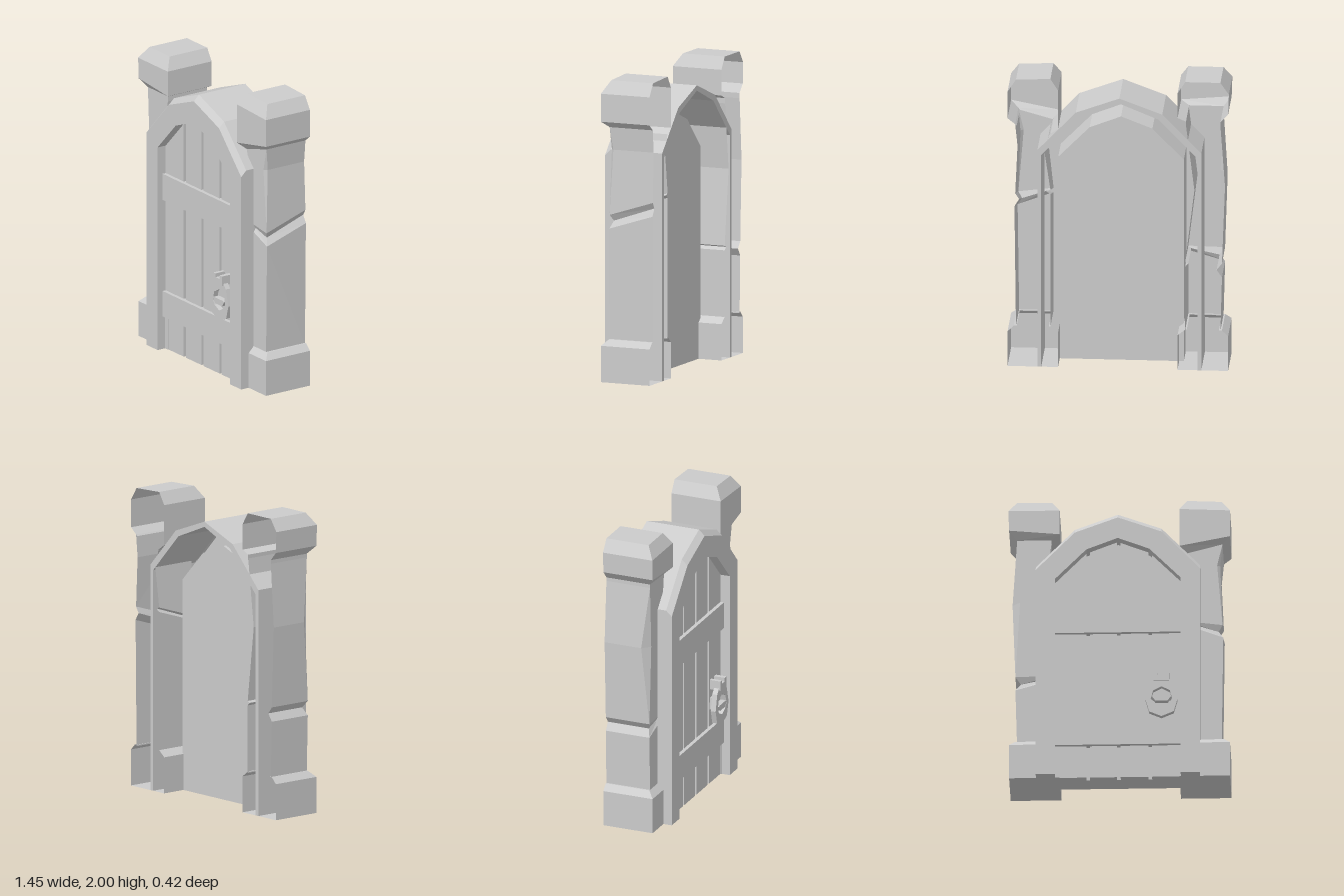
import * as THREE from 'three';

const mat = new THREE.MeshStandardMaterial({ color: 0xcccccc, flatShading: true, side: THREE.DoubleSide });
const BACK = -0.21;

function add(parent, name, geometry) {
  const mesh = new THREE.Mesh(geometry, mat);
  mesh.name = name;
  parent.add(mesh);
  return mesh;
}

// Joins rows of equally many points into a faceted open surface
function loft(rows, flip = false) {
  const pos = [];
  for (let r = 0; r < rows.length - 1; r++) {
    for (let i = 0; i < rows[r].length - 1; i++) {
      const a = rows[r][i], b = rows[r][i + 1], c = rows[r + 1][i + 1], d = rows[r + 1][i];
      pos.push(...(flip ? [a, c, b, a, d, c] : [a, b, c, a, c, d]).flat());
    }
  }
  const g = new THREE.BufferGeometry();
  g.setAttribute('position', new THREE.Float32BufferAttribute(pos, 3));
  g.computeVertexNormals();
  return g;
}

// Flat outline given thickness between z0 and z1
function slab(points, z0, z1, hole) {
  const shape = new THREE.Shape(points.map(p => new THREE.Vector2(...p)));
  if (hole) shape.holes.push(new THREE.Path(hole.map(p => new THREE.Vector2(...p))));
  return new THREE.ExtrudeGeometry(shape, { depth: z1 - z0, bevelEnabled: false }).translate(0, 0, z0);
}

// Pillar section, open at the back: outer x, inner x, front z, outer y, inner y, rise to the back, corner chamfer
const section = side => ([xo, xi, zf, yo, yi = yo, rise = 0, ch = 0]) => [
  [side * xo, yo + rise, BACK],
  [side * xo, yo, zf - ch],
  [side * (xo - ch), yo, zf],
  [side * xi, yi, zf],
  [side * xi, yi + rise, BACK],
];

function pillar(name, side, bodyRows, capRows) {
  const group = new THREE.Group();
  group.name = name;
  const part = (partName, rows) => add(group, partName, loft(rows.map(section(side)), side < 0));
  part('pillarBase', [
    [0.72, 0.39, BACK, 0], [0.72, 0.39, 0.14, 0], [0.72, 0.39, 0.14, 0.24],
    [0.68, 0.44, 0.10, 0.28], [0.66, 0.45, 0.09, 0.28],
  ]);
  part('pillarBody', bodyRows);
  part('pillarCap', capRows);
  return group;
}

// Arch outlines, from the foot of one jamb over the top to the other
const outer = [[-0.545, 0], [-0.545, 1.505], [-0.29, 1.77], [-0.01, 1.875], [0.275, 1.77], [0.525, 1.505], [0.525, 0]];
const bevel = outer.map(([x, y]) => [x, y ? y - 0.038 : 0]);
const rim = outer.map(([x, y]) => [x + (x < -0.1 ? 0.025 : x > 0 ? -0.025 : 0), y ? y - 0.035 : 0]);
const inner = [[-0.42, 0], [-0.42, 1.40], [-0.215, 1.61], [-0.01, 1.69], [0.195, 1.61], [0.40, 1.40], [0.40, 0]];

// Height of the door opening at x
function topAt(x) {
  for (let i = 1; i < 5; i++) {
    const [x0, y0] = inner[i], [x1, y1] = inner[i + 1];
    if (x <= x1) return y0 + (y1 - y0) * (x - x0) / (x1 - x0);
  }
  return inner[5][1];
}

export function createModel() {
  const model = new THREE.Group();
  model.name = 'archedDoor';

  // Arched frame, hollow behind
  const at = (pts, z) => pts.map(([x, y]) => [x, y, z]);
  add(model, 'archFrame', loft([
    at(rim, 0.15), at(rim, BACK), at(outer, BACK), at(outer, 0.16),
    at(bevel, 0.2), at(inner, 0.2), at(inner, -0.045),
  ], true));
  for (const [x0, x1] of [[-0.545, -0.42], [0.40, 0.525]]) {
    const foot = new THREE.PlaneGeometry(x1 - x0, 0.06).rotateX(Math.PI / 2);
    add(model, 'jambFoot', foot.translate((x0 + x1) / 2, 0, 0.17));
  }

  // Door leaf: backing panel, four planks and two cross bands
  add(model, 'doorPanel', slab(inner, -0.045, 0.09));
  const joints = [-0.42, -0.205, -0.005, 0.2, 0.40];
  for (let i = 0; i < 4; i++) {
    const a = joints[i] + (i > 0 ? 0.012 : 0);
    const b = joints[i + 1] - (i < 3 ? 0.012 : 0);
    add(model, 'plank', slab([[a, 0], [b, 0], [b, topAt(b)], [a, topAt(a)]], 0.05, 0.135));
  }
  for (const [y0, y1] of [[0.225, 0.40], [1.03, 1.21]]) {
    const band = add(model, 'crossBand', new THREE.BoxGeometry(0.82, y1 - y0, 0.05));
    band.position.set(-0.01, (y0 + y1) / 2, 0.135);
  }

  // Knocker: mounting tab, faceted ring and small grip
  const knocker = new THREE.Group();
  knocker.name = 'knocker';
  model.add(knocker);
  add(knocker, 'knockerRing', slab(
    [[0.17, 0.53], [0.195, 0.44], [0.275, 0.405], [0.355, 0.44], [0.38, 0.53], [0.35, 0.64], [0.315, 0.685], [0.235, 0.685], [0.195, 0.64]],
    0.165, 0.2,
    [[0.205, 0.53], [0.225, 0.50], [0.275, 0.475], [0.325, 0.50], [0.345, 0.53], [0.33, 0.59], [0.275, 0.62], [0.22, 0.59]]));
  add(knocker, 'knockerTab', slab(
    [[0.225, 0.66], [0.325, 0.66], [0.325, 0.725], [0.295, 0.725], [0.295, 0.70], [0.25, 0.70], [0.25, 0.725], [0.225, 0.725]],
    0.13, 0.21));
  add(knocker, 'knockerPlate', slab(
    [[0.22, 0.52], [0.275, 0.48], [0.33, 0.52], [0.325, 0.60], [0.225, 0.60]], 0.12, 0.165));
  add(knocker, 'knockerGrip', slab(
    [[0.21, 0.55], [0.235, 0.515], [0.315, 0.515], [0.34, 0.55], [0.32, 0.555], [0.225, 0.555]], 0.15, 0.205));

  // Pillars, each with its own wear and notch
  model.add(pillar('rightPillar', -1, [
    [0.67, 0.44, 0.10, 0.27], [0.68, 0.44, 0.10, 0.65, 0.72],
    [0.645, 0.46, 0.08, 0.70, 0.74], [0.68, 0.44, 0.10, 0.745, 0.75],
    [0.70, 0.50, 0.10, 1.28, 1.25, 0, 0.05], [0.67, 0.445, 0.10, 1.70],
  ], [
    [0.67, 0.445, 0.10, 1.69], [0.67, 0.445, 0.10, 1.725], [0.72, 0.39, 0.14, 1.78, 1.75],
    [0.725, 0.39, 0.14, 1.92], [0.67, 0.44, 0.09, 2], [0.67, 0.44, BACK, 2],
  ]));
  model.add(pillar('leftPillar', 1, [
    [0.665, 0.44, 0.10, 0.27], [0.675, 0.44, 0.10, 1.01, 1.10, 0.10],
    [0.645, 0.47, 0.08, 1.06, 1.12, 0.10], [0.67, 0.44, 0.10, 1.10, 1.13, 0.10],
    [0.655, 0.48, 0.10, 1.53, 1.50, 0, 0.02], [0.67, 0.445, 0.10, 1.68, 1.62],
  ], [
    [0.66, 0.445, 0.09, 1.67, 1.61], [0.67, 0.44, 0.10, 1.68, 1.62], [0.72, 0.39, 0.14, 1.72, 1.655],
    [0.72, 0.39, 0.14, 1.905, 1.92], [0.665, 0.44, 0.09, 1.99, 2], [0.665, 0.44, BACK, 1.99, 2],
  ]));

  return model;
}
